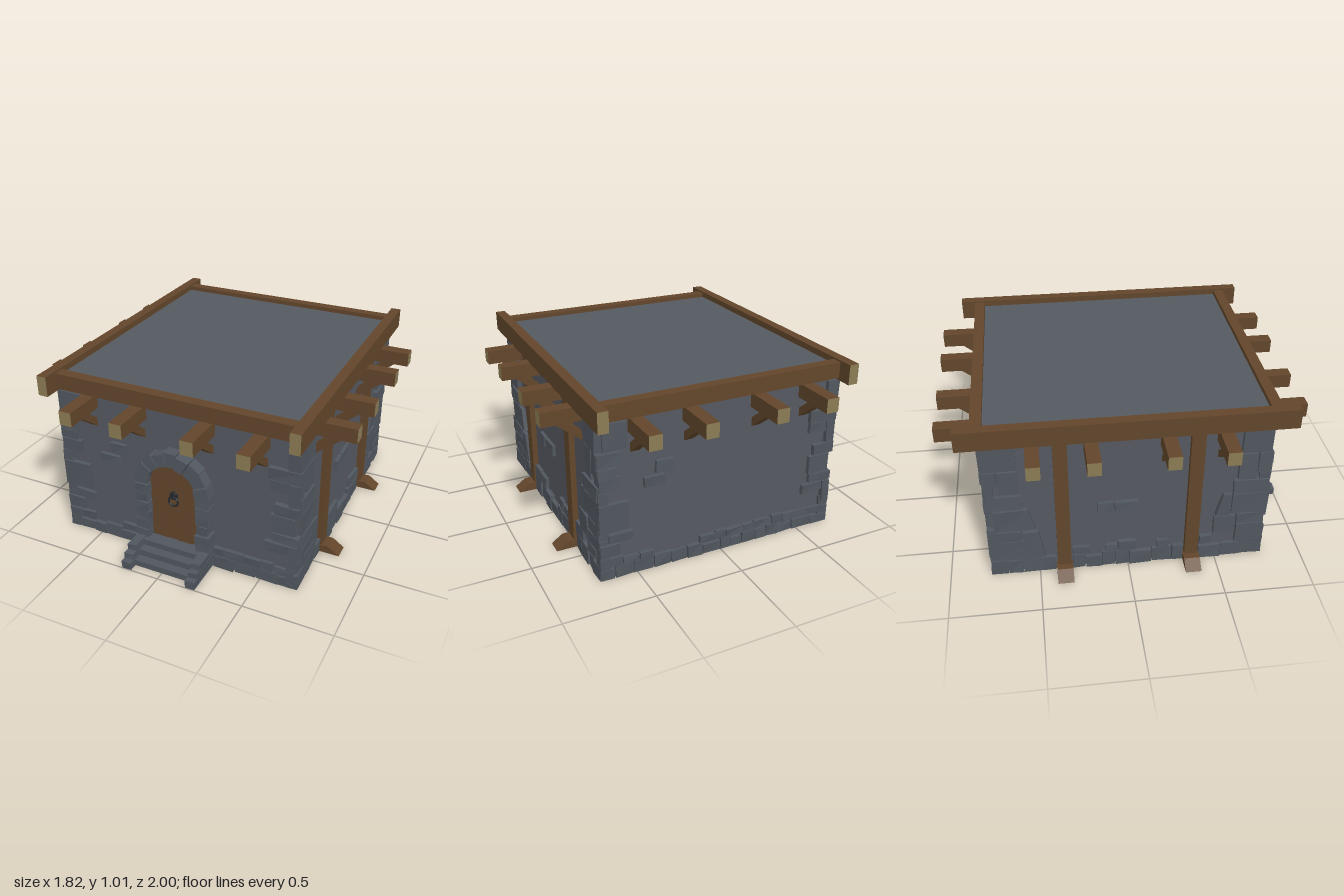
import * as THREE from 'three';

const mat = (name, color, side = THREE.FrontSide) => {
  const m = new THREE.MeshStandardMaterial({ color, side, flatShading: true });
  m.name = name;
  return m;
};

export function createModel() {
  const wallMat = mat('wall plaster', 0x555960, THREE.DoubleSide);
  const stone = mat('stone', 0x51575f);
  const wood = mat('wood', 0x62462b);
  const cut = mat('cut wood end', 0x8a7c55);
  const iron = mat('iron', 0x25282c);

  let seed = 7;
  const rnd = () => (seed = (seed * 16807) % 2147483647) / 2147483647;
  const jit = (a) => (rnd() - 0.5) * 2 * a;

  const root = new THREE.Group();
  root.name = 'stoneHouse';

  const add = (parent, name, geo, material) => {
    const m = new THREE.Mesh(geo, material);
    m.name = name;
    parent.add(m);
    return m;
  };
  // box given by its limits
  const box = (parent, name, x0, x1, y0, y1, z0, z1, material) => {
    const g = new THREE.BoxGeometry(x1 - x0, y1 - y0, z1 - z0);
    g.translate((x0 + x1) / 2, (y0 + y1) / 2, (z0 + z1) / 2);
    return add(parent, name, g, material);
  };
  // roughly cut block: the eight corners are shifted, taper narrows one top side
  const block = (parent, name, x0, x1, y0, y1, z0, z1, taper = 0) => {
    const m = box(parent, name, x0, x1, y0, y1, z0, z1, stone);
    const p = m.geometry.attributes.position;
    const shift = Array.from({ length: 8 }, () => [jit(0.003), jit(0.003), jit(0.004)]);
    const cx = (x0 + x1) / 2, cy = (y0 + y1) / 2, cz = (z0 + z1) / 2;
    for (let i = 0; i < p.count; i++) {
      const x = p.getX(i), y = p.getY(i), z = p.getZ(i);
      const right = x > cx, top = y > cy;
      const s = shift[(right ? 1 : 0) + (top ? 2 : 0) + (z > cz ? 4 : 0)];
      let dx = s[0];
      if (top && taper > 0 && !right) dx += taper;
      if (top && taper < 0 && right) dx += taper;
      p.setXYZ(i, x + dx, Math.max(0, y + (y < 0.01 ? 0 : s[1])), z + s[2]);
    }
    m.geometry.computeVertexNormals();
    return m;
  };
  // side profile of [outward, up] points, given a width along x
  const profile = (parent, name, pts, x, width, material) => {
    const g = new THREE.ExtrudeGeometry(new THREE.Shape(pts.map((p) => new THREE.Vector2(...p))),
      { depth: width, bevelEnabled: false });
    g.translate(0, 0, -width / 2);
    g.rotateY(-Math.PI / 2);
    g.translate(x, 0, 0);
    return add(parent, name, g, material);
  };

  // walls (hollow, open below) and flat roof
  const WX = 0.69, WZ = 0.75;
  const walls = new THREE.Group();
  walls.name = 'walls';
  root.add(walls);
  for (let i = 0; i < 4; i++) {
    const w = i % 2 ? WZ : WX, d = i % 2 ? WX : WZ;
    const g = new THREE.PlaneGeometry(2 * w, 0.97);
    g.translate(0, 0.485, d);
    g.rotateY((i * Math.PI) / 2);
    add(walls, 'wall', g, wallMat);
  }
  box(root, 'roof', -WX, WX, 0.95, 0.975, -WZ, WZ, wallMat);

  // roof edge beams
  for (const s of [-1, 1]) {
    box(root, 'sideRoofBeam', s * 0.7125 - 0.0285, s * 0.7125 + 0.0285, 0.897, 1.01, -0.883, 0.883,
      [wood, wood, wood, wood, cut, cut]);
    box(root, 'endRoofBeam', -0.685, 0.685, 0.91, 1.0, s * 0.77 - 0.03, s * 0.77 + 0.03, wood);
  }

  // rafter stub with a cut end and a slanted brace below
  const rafter = (face, x, d, out) => {
    box(face, 'rafter', x - 0.036, x + 0.036, 0.82, 0.9, d - 0.06, out, [wood, wood, wood, wood, cut, wood]);
    profile(face, 'brace', [[d - 0.04, 0.675], [d + 0.15, 0.825], [d + 0.085, 0.825], [d - 0.04, 0.725]],
      x, 0.05, wood);
  };
  // course of base stones with varied sizes
  const course = (face, from, to, y0, h, d, fill) => {
    for (let x = from; x < to - 0.02;) {
      const x1 = to - x < 0.12 ? to : x + 0.06 + rnd() * 0.07;
      if (rnd() < fill) {
        block(face, 'baseStone', x + 0.002, x1 - 0.002, y0, y0 + h * (0.8 + rnd() * 0.35),
          d - 0.04, d + 0.018 + rnd() * 0.008);
      }
      x = x1;
    }
  };
  const stones = (face, name, d, list) => {
    for (const [x0, x1, y0, y1, t] of list) {
      block(face, name, x0, x1, y0, y1, d - 0.035, d + 0.02 + rnd() * 0.007, t);
    }
  };

  // [x0, x1, y0, y1, taper] of stones on the end walls and the side walls
  const endQuoins = [
    [-0.68, -0.55, 0.74, 0.885], [-0.71, -0.58, 0.655, 0.73], [-0.71, -0.61, 0.595, 0.65],
    [-0.705, -0.585, 0.52, 0.59], [-0.71, -0.66, 0.45, 0.515], [-0.71, -0.545, 0.285, 0.445, 0],
    [-0.66, -0.525, 0.215, 0.265], [-0.71, -0.6, 0.14, 0.21],
    [0.645, 0.71, 0.73, 0.885], [0.54, 0.71, 0.655, 0.725], [0.545, 0.65, 0.59, 0.65],
    [0.655, 0.71, 0.52, 0.65], [0.58, 0.71, 0.455, 0.515], [0.555, 0.685, 0.34, 0.445],
    [0.565, 0.71, 0.28, 0.33], [0.525, 0.66, 0.215, 0.27], [0.66, 0.71, 0.14, 0.27]];
  const sideQuoins = [
    [-0.76, -0.585, 0.735, 0.885], [-0.69, -0.585, 0.575, 0.725], [-0.765, -0.695, 0.63, 0.725],
    [-0.755, -0.575, 0.47, 0.555], [-0.73, -0.51, 0.32, 0.46, -0.035], [-0.765, -0.59, 0.24, 0.31],
    [-0.725, -0.545, 0.105, 0.235], [-0.585, -0.465, 0.12, 0.3, -0.03],
    [0.6, 0.76, 0.74, 0.885], [0.595, 0.69, 0.56, 0.73], [0.695, 0.765, 0.61, 0.73],
    [0.575, 0.765, 0.465, 0.55], [0.485, 0.57, 0.31, 0.455, 0.04], [0.575, 0.765, 0.32, 0.455],
    [0.48, 0.6, 0.175, 0.3], [0.61, 0.765, 0.24, 0.31], [0.61, 0.765, 0.105, 0.235]];

  for (const turn of [0, Math.PI]) {
    // front and back
    const end = new THREE.Group();
    end.name = turn ? 'backSide' : 'frontSide';
    end.rotation.y = turn;
    root.add(end);
    for (const x of [-0.5, -0.2, 0.2, 0.5]) rafter(end, x, WZ, turn ? 1.0 : 0.99);
    stones(end, 'cornerStone', WZ, endQuoins);
    stones(end, 'wallStone', WZ, [[-0.39, -0.29, 0.565, 0.63], [-0.455, -0.34, 0.495, 0.55]]);
    for (const [a, b] of turn ? [[-0.71, 0.71]] : [[-0.71, -0.225], [0.225, 0.71]]) {
      course(end, a, b, 0, 0.065, WZ, 1);
      course(end, a, b, 0.07, 0.05, WZ, 0.65);
    }
    // sides with posts and feet
    const side = new THREE.Group();
    side.name = turn ? 'rightSide' : 'leftSide';
    side.rotation.y = turn + Math.PI / 2;
    root.add(side);
    for (const x of [-0.5, -0.2, 0.2, 0.5]) rafter(side, x, WX, 0.91);
    for (const x of [-0.36, 0.36]) {
      box(side, 'post', x - 0.038, x + 0.038, 0, 0.9, 0.66, 0.722, wood);
      profile(side, 'postFoot', [[0.66, 0], [0.825, 0], [0.76, 0.045], [0.66, 0.045]], x, 0.09, wood);
    }
    stones(side, 'cornerStone', WX, sideQuoins);
    stones(side, 'wallStone', WX, [[-0.17, -0.085, 0.4, 0.462], [-0.075, 0.055, 0.4, 0.462]]);
    for (const [a, b] of [[-0.77, -0.405], [-0.315, 0.315], [0.405, 0.77]]) {
      course(side, a, b, 0, 0.095, WX, 1);
      course(side, a, b, 0.105, 0.06, WX, 0.7);
    }
  }

  // doorway: jamb stones and arch wedges
  const door = new THREE.Group();
  door.name = 'doorway';
  root.add(door);
  const SPRING = 0.455, R0 = 0.145, R1 = 0.222;
  for (const s of [-1, 1]) {
    for (let i = 0; i < 6; i++) {
      const y = 0.1 + i * 0.06, a = s * (R0 + jit(0.005)), b = s * (R1 + jit(0.008));
      block(door, 'jambStone', Math.min(a, b), Math.max(a, b), y, y + 0.056, 0.71, 0.822 + jit(0.008));
    }
  }
  const N = 9;
  for (let i = 0; i < N; i++) {
    const a0 = (i / N) * Math.PI + 0.012, a1 = ((i + 1) / N) * Math.PI - 0.012;
    const r = R1 + 0.003 + jit(0.006);
    const at = (rad, a) => new THREE.Vector2(rad * Math.cos(a), SPRING + rad * Math.sin(a));
    const shape = new THREE.Shape([at(R0, a0), at(r, a0), at(r, a1), at(R0, a1)]);
    const g = new THREE.ExtrudeGeometry(shape, { depth: 0.11 + jit(0.008), bevelEnabled: false });
    g.translate(0, 0, 0.71);
    add(door, 'archStone', g, stone);
  }

  // door planks, tops following the arch, split by narrow gaps
  const edges = [-0.147, -0.105, -0.047, 0.001, 0.047, 0.103, 0.147];
  const top = (x) => SPRING + Math.sqrt(Math.max(0, 0.149 ** 2 - x * x));
  for (let i = 0; i < edges.length - 1; i++) {
    const a = edges[i] + 0.003, b = edges[i + 1] - 0.003;
    const pts = [[a, 0.105], [b, 0.105]];
    for (let k = 0; k <= 4; k++) {
      const x = b + ((a - b) * k) / 4;
      pts.push([x, top(x)]);
    }
    const g = new THREE.ExtrudeGeometry(new THREE.Shape(pts.map((p) => new THREE.Vector2(...p))),
      { depth: 0.025 + jit(0.003), bevelEnabled: false });
    g.translate(0, 0, 0.752);
    add(door, 'doorPlank', g, wood);
  }
  // the planks touch in places
  for (const x of edges.slice(1, -1)) {
    for (const [y0, y1] of [[0.105, 0.125], [0.23, 0.26], [0.35, 0.37], [0.46, 0.49], [0.555, 0.575]]) {
      if (y1 < top(x)) box(door, 'plankJoin', x - 0.004, x + 0.004, y0, y1, 0.752, 0.773, wood);
    }
  }
  // ring handle
  const ring = add(door, 'handleRing', new THREE.TorusGeometry(0.028, 0.006, 6, 12), iron);
  ring.position.set(0, 0.373, 0.792);
  const knob = add(door, 'handleMount', new THREE.CylinderGeometry(0.022, 0.026, 0.02, 6), iron);
  knob.rotation.x = Math.PI / 2;
  knob.position.set(0, 0.405, 0.785);

  // entrance steps with stepped side stones
  [[0.036, 0.95], [0.073, 0.9], [0.108, 0.85]].forEach(([y, z], i) =>
    box(root, 'step', -0.168, 0.168, i ? y - 0.037 : 0, y, 0.73, z, stone));
  for (const s of [-1, 1]) {
    [[0, 0.045, 0.998], [0.047, 0.08, 0.965], [0.082, 0.115, 0.93]].forEach(([y0, y1, z]) =>
      block(root, 'stepSideStone', s * 0.195 - 0.027, s * 0.195 + 0.027, y0, y1, 0.73, z));
  }
  return root;
}
